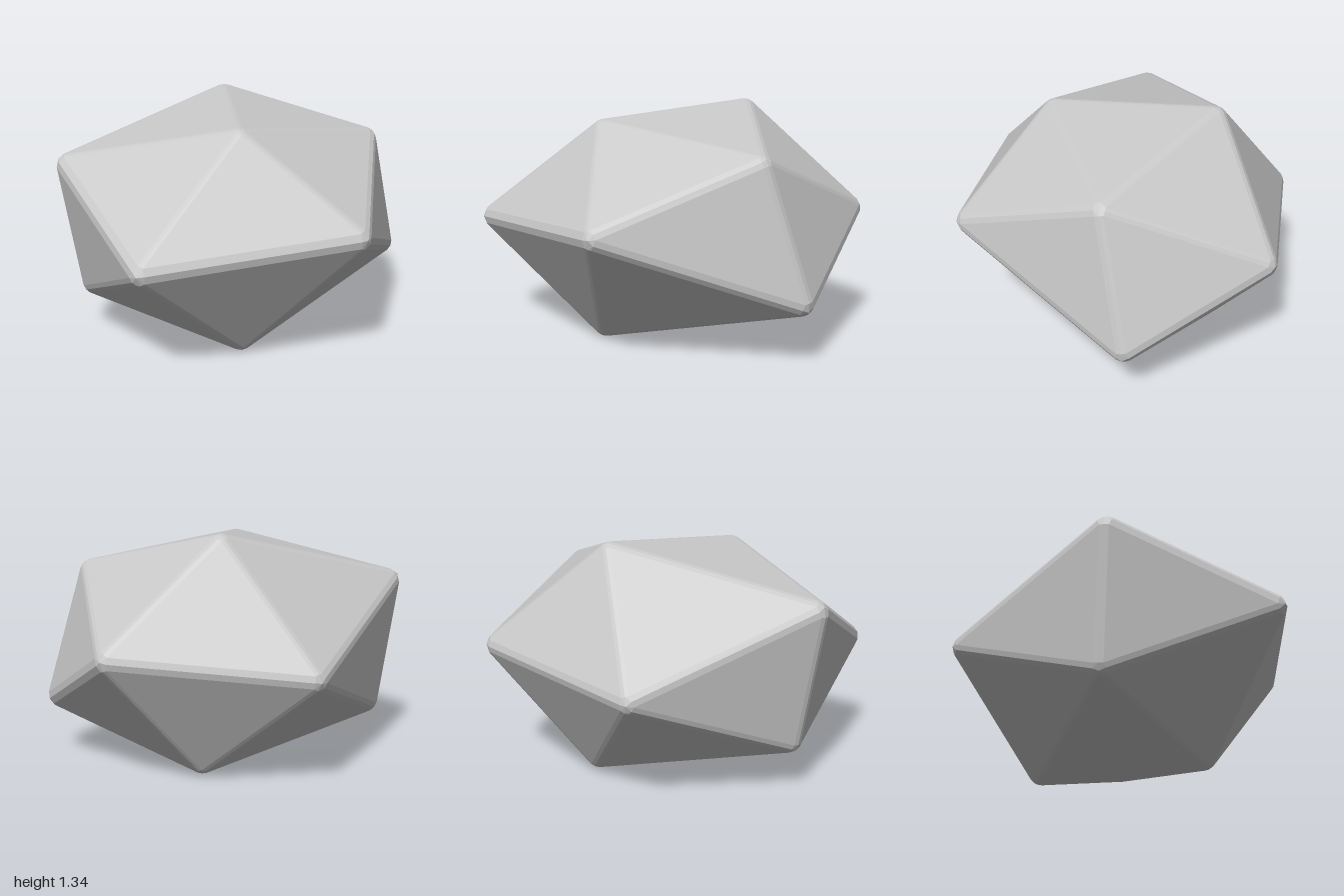
import * as THREE from 'three';
import { ConvexGeometry } from 'three/addons/geometries/ConvexGeometry.js';

// Corners of a squashed, slightly irregular twenty-sided stone
const CORNERS = [
  [-0.25, 1.25, 0.43], [0.18, 1.32, -0.49], [0.77, 1.10, 0.28], [-0.99, 1.03, -0.30],
  [0.17, 0.75, 1.0], [-0.97, 0.66, 0.64], [1.0, 0.34, 0.20],
  [-0.18, 0.63, -1.0], [0.87, 0.73, -0.62],
  [-0.25, 0.01, 0.44], [0.29, 0.03, -0.47], [-0.87, 0.26, -0.30],
];
const CENTRE = new THREE.Vector3(0, 0.665, 0);
const BEVEL = 0.07;

// Faces of a convex hull as { normal, ids of its corners }
function hullFaces(points) {
  const pos = new ConvexGeometry(points).getAttribute('position');
  const faces = [];
  for (let i = 0; i < pos.count; i += 3) {
    const tri = [0, 1, 2].map((k) => new THREE.Vector3().fromBufferAttribute(pos, i + k));
    const normal = new THREE.Triangle(...tri).getNormal(new THREE.Vector3());
    const ids = tri.map((p) => points.findIndex((q) => q.distanceTo(p) < 1e-4));
    faces.push({ normal, ids });
  }
  return faces;
}

// Round every edge in two steps: push the inset corners out along face, edge and corner normals
function bevelledHull(corners, radius) {
  const inset = corners.map((c) => {
    const p = new THREE.Vector3(...c);
    return p.addScaledVector(p.clone().sub(CENTRE).normalize(), -radius);
  });
  const faces = hullFaces(inset);
  const points = [];
  const push = (id, dir) => points.push(inset[id].clone().addScaledVector(dir, radius));

  faces.forEach((f, i) => {
    f.ids.forEach((id) => push(id, f.normal));
    faces.slice(i + 1).forEach((g) => {
      const shared = f.ids.filter((id) => g.ids.includes(id));
      if (shared.length !== 2) return;
      const mid = f.normal.clone().add(g.normal).normalize();
      shared.forEach((id) => push(id, mid));
    });
  });
  inset.forEach((_, id) => {
    const dir = new THREE.Vector3();
    faces.filter((f) => f.ids.includes(id)).forEach((f) => dir.add(f.normal));
    push(id, dir.normalize());
  });
  return new ConvexGeometry(points);
}

export function createModel() {
  const stoneGrey = new THREE.MeshStandardMaterial({ color: 0xc8c8c8 });
  const stone = new THREE.Mesh(bevelledHull(CORNERS, BEVEL), stoneGrey);
  stone.name = 'stone';
  const group = new THREE.Group();
  group.name = 'facetedStone';
  group.add(stone);
  return group;
}
